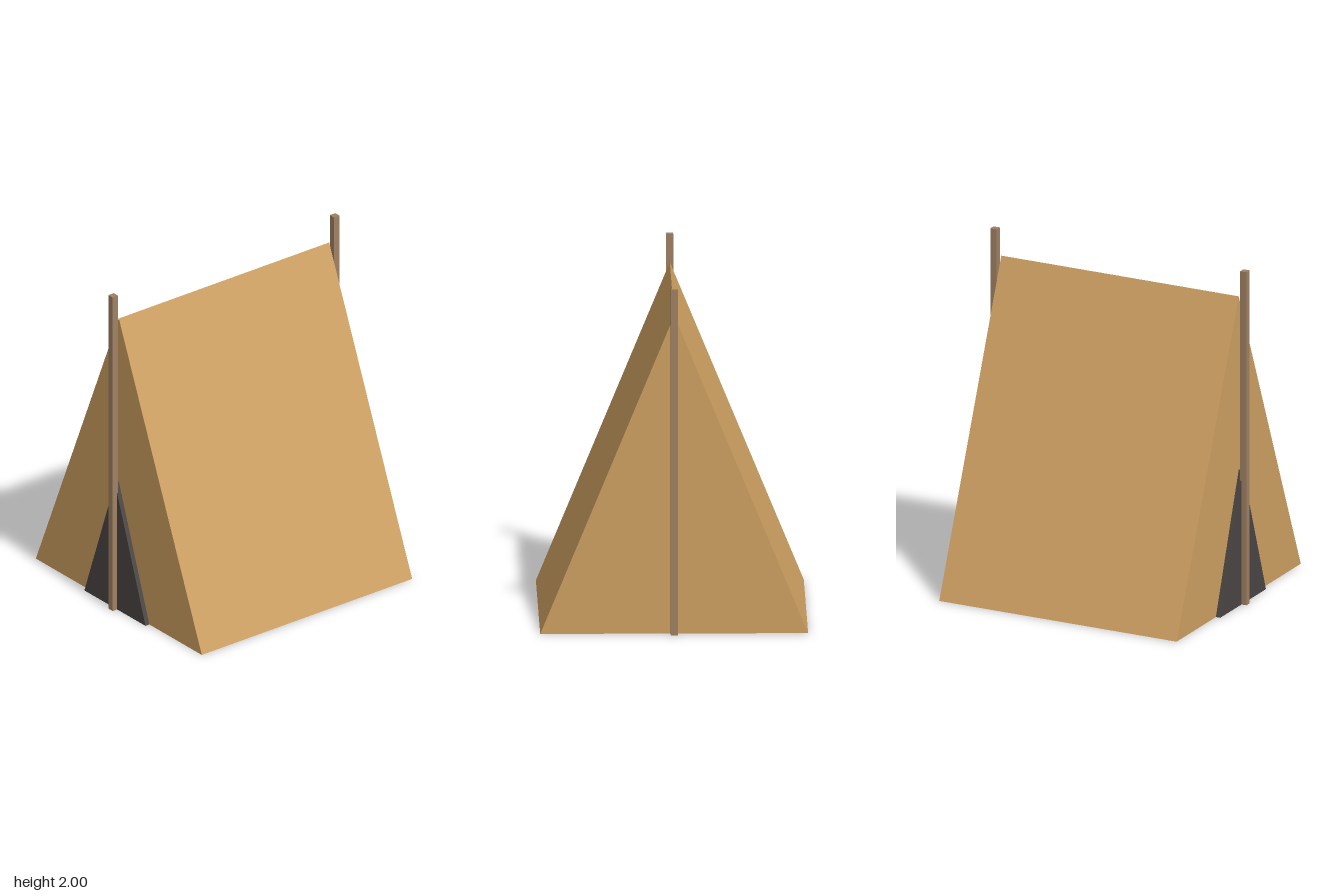
import * as THREE from 'three';

const material = (name, color) => {
  const m = new THREE.MeshStandardMaterial({ color });
  m.name = name;
  return m;
};

// Upright triangular prism standing on y = 0, running from z0 to z1
function prism(halfWidth, height, z0, z1) {
  const shape = new THREE.Shape();
  shape.moveTo(-halfWidth, 0);
  shape.lineTo(halfWidth, 0);
  shape.lineTo(0, height);
  shape.closePath();
  const geometry = new THREE.ExtrudeGeometry(shape, { depth: z1 - z0, bevelEnabled: false });
  return geometry.translate(0, 0, z0);
}

export function createModel() {
  const canvas = material('tan canvas', 0xcfa162);
  const wood = material('brown wood', 0xa08163);
  const dark = material('dark opening', 0x4b4644);

  const tent = new THREE.Group();
  tent.name = 'tent';
  const add = (name, geometry, mat) => {
    const mesh = new THREE.Mesh(geometry, mat);
    mesh.name = name;
    tent.add(mesh);
    return mesh;
  };

  // Canvas body and the entrance flap on its front
  add('tentBody', prism(0.76, 1.84, -0.76, 0.76), canvas);
  add('entrance', prism(0.28, 0.8, 0.76, 0.788), dark);

  // One square pole just outside each end
  for (const [name, z] of [['frontPole', 0.8], ['backPole', -0.8]]) {
    add(name, new THREE.BoxGeometry(0.04, 2, 0.04), wood).position.set(0, 1, z);
  }
  return tent;
}
